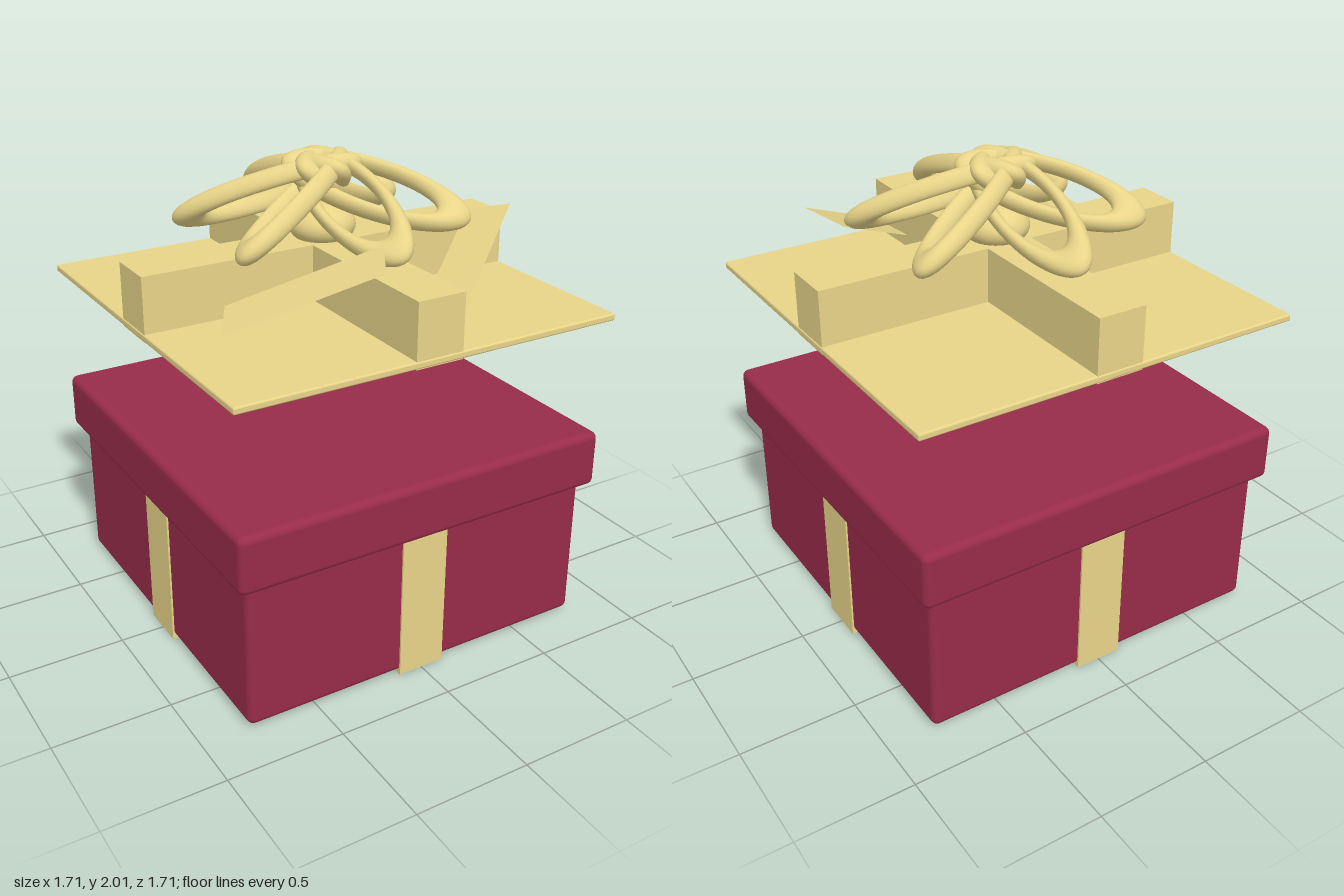
import * as THREE from 'three';
import { RoundedBoxGeometry } from 'three/addons/geometries/RoundedBoxGeometry.js';

export function createModel() {
  const model = new THREE.Group();
  model.name = 'giftBox';
  const red = new THREE.MeshStandardMaterial({ color: 0x982c4a });
  const gold = new THREE.MeshStandardMaterial({ color: 0xe8d488 });
  const goldSheet = new THREE.MeshStandardMaterial({ color: 0xe8d488, side: THREE.DoubleSide });

  const add = (name, geometry, material, parent = model) => {
    const mesh = new THREE.Mesh(geometry, material);
    mesh.name = name;
    parent.add(mesh);
    return mesh;
  };
  // Boxes given by half widths and a vertical range
  const box = (name, hx, y0, y1, hz, material, radius = 0) => {
    const size = [2 * hx, y1 - y0, 2 * hz];
    const geometry = radius
      ? new RoundedBoxGeometry(...size, 4, radius)
      : new THREE.BoxGeometry(...size);
    add(name, geometry.translate(0, (y0 + y1) / 2, 0), material);
  };

  // Box and lid
  box('boxBody', 0.8, 0.012, 0.7, 0.8, red, 0.03);
  box('boxLid', 0.845, 0.645, 0.892, 0.845, red, 0.03);

  // Ribbons wrapped around the box
  box('bodyRibbonAcross', 0.808, 0, 0.66, 0.105, gold);
  box('bodyRibbonAlong', 0.105, 0, 0.66, 0.808, gold);

  // Raised lid trim: thin sheet with a ribbon cross
  box('trimSheet', 0.857, 1.395, 1.425, 0.857, gold, 0.008);
  box('lidRibbonAcross', 0.853, 1.392, 1.66, 0.105, gold);
  box('lidRibbonAlong', 0.105, 1.392, 1.66, 0.853, gold);

  // Bow: six stretched rings, each rolled and drooping outward
  const bow = new THREE.Group();
  bow.name = 'bow';
  model.add(bow);
  const loop = new THREE.TorusGeometry(1, 0.22, 20, 64)
    .rotateX(Math.PI / 2)
    .scale(0.12, 0.19, 0.335)
    .rotateZ(0.6)
    .rotateX(0.31)
    .translate(0, 1.848, 0.225);
  for (let i = 0; i < 6; i++) {
    add('bowLoop', loop, gold, bow).rotation.y = (i * Math.PI) / 3;
  }
  add('bowKnot', new THREE.SphereGeometry(1, 32, 20).scale(0.14, 0.09, 0.14).translate(0, 1.71, 0), gold, bow);

  // Flat ribbon tails, corners in loop order
  const tail = (name, corners) => {
    const geometry = new THREE.BufferGeometry();
    geometry.setAttribute('position', new THREE.Float32BufferAttribute(corners.flat(), 3));
    geometry.setIndex([0, 1, 2, 0, 2, 3]);
    geometry.computeVertexNormals();
    add(name, geometry, goldSheet, bow);
  };
  tail('leftTail', [[0.1, 1.48, 0.57], [0.18, 1.525, 0.745], [0.665, 1.79, 0.39], [0.57, 1.74, 0.23]]);
  tail('rightTail', [[-0.57, 1.53, 0.23], [-0.665, 1.48, 0.39], [-0.175, 1.745, 0.745], [-0.08, 1.79, 0.58]]);

  return model;
}
